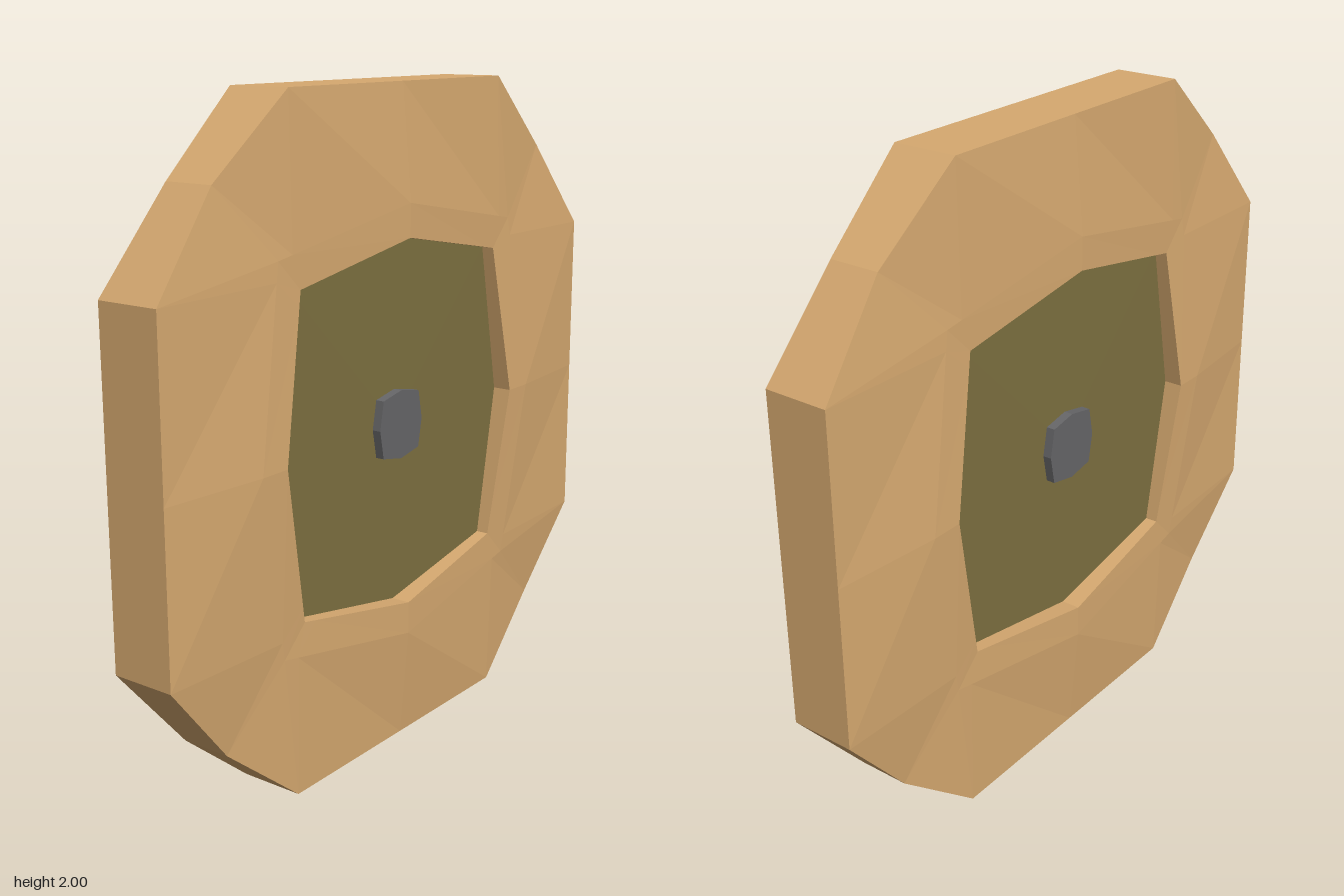
import * as THREE from 'three';

// Ring of 16 points in the wheel plane. Each key holds [distance a, distance b, x];
// 'side' is the point on the axes, 'corner' the one on the diagonal.
function ring(side, sideX, corner, cornerX, shoulder) {
  // Shoulder points lie between side and corner
  const t = 0.9;
  const s = shoulder || [
    THREE.MathUtils.lerp(side, corner, t), corner * t, THREE.MathUtils.lerp(sideX, cornerX, t),
  ];
  const quarter = [[side, 0, sideX], s, [corner, corner, cornerX], [s[1], s[0], s[2]]];
  const points = [];
  for (let q = 0; q < 4; q++) {
    const c = [1, 0, -1, 0][q], n = [0, 1, 0, -1][q];
    for (const [z, y, x] of quarter) {
      points.push(new THREE.Vector3(x, z * n + y * c, z * c - y * n));
    }
  }
  return points;
}

const mirrored = (rings) => rings.map((r) => r.map((p) => new THREE.Vector3(-p.x, p.y, p.z))).reverse();

// Skin consecutive rings, running from +x to -x, with flat faces
function loft(name, halfRings, color) {
  const rings = [...halfRings, ...mirrored(halfRings)];
  const pos = [];
  const tri = (a, b, c) => {
    if (a.distanceTo(b) < 1e-6 || b.distanceTo(c) < 1e-6 || c.distanceTo(a) < 1e-6) return;
    for (const p of [a, b, c]) pos.push(p.x, p.y, p.z);
  };
  for (let k = 0; k < rings.length - 1; k++) {
    const A = rings[k], B = rings[k + 1];
    for (let i = 0; i < A.length; i++) {
      const j = (i + 1) % A.length;
      tri(A[i], A[j], B[i]);
      tri(A[j], B[j], B[i]);
    }
  }
  const geometry = new THREE.BufferGeometry();
  geometry.setAttribute('position', new THREE.Float32BufferAttribute(pos, 3));
  geometry.computeVertexNormals();
  const mesh = new THREE.Mesh(geometry, new THREE.MeshStandardMaterial({ color, flatShading: true }));
  mesh.name = name;
  return mesh;
}

export function createModel() {
  const wheel = new THREE.Group();
  wheel.name = 'wheel';

  // Chunky tyre: recessed inner wall, bulging side, flat tread
  const tyre = loft('tyre', [
    ring(0.56, 0.065, 0.473, 0.065),
    ring(0.56, 0.13, 0.473, 0.11),
    ring(0.66, 0.13, 0.56, 0.108),
    ring(1, 0.1, 0.773, 0.078, [1, 0.5, 0.1]),
  ], 0xd6a970);

  // Recessed disc
  const disc = loft('disc', [
    ring(0, 0.073, 0, 0.073),
    ring(0.56, 0.07, 0.473, 0.07),
  ], 0x7d7040);

  // Hub cap through the centre
  const hub = loft('hub', [
    ring(0, 0.1, 0, 0.1),
    ring(0.105, 0.1, 0.088, 0.1),
  ], 0x666668);

  wheel.add(tyre, disc, hub);
  for (const part of wheel.children) part.position.y = 1;
  return wheel;
}
